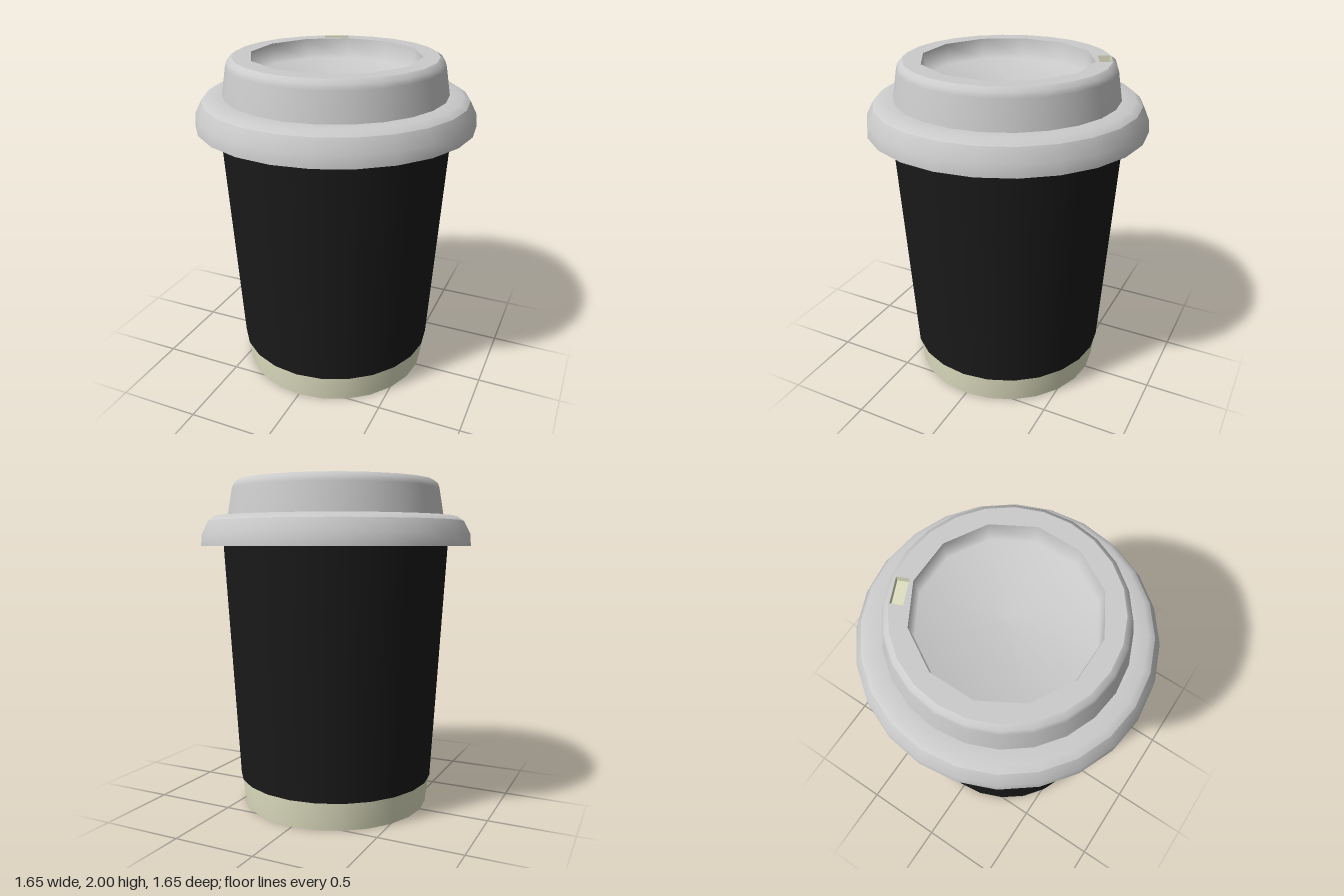
import * as THREE from 'three';

const SIDES = 24;
const grey = new THREE.MeshStandardMaterial({ color: 0xcccccc });
const black = new THREE.MeshStandardMaterial({ color: 0x1a1a1a });
const cream = new THREE.MeshStandardMaterial({ color: 0xe0e0c2 });
const creamInside = new THREE.MeshStandardMaterial({ color: 0xe0e0c2, side: THREE.BackSide });

// Surface of revolution; each profile is one smooth run of [radius, y]
function turn(name, profile, material, sides = SIDES, start = 0) {
  const points = profile.map(([r, y]) => new THREE.Vector2(r, y));
  const mesh = new THREE.Mesh(new THREE.LatheGeometry(points, sides, start), material);
  mesh.name = name;
  return mesh;
}

function polygon(radius, sides, start = 0) {
  return Array.from({ length: sides }, (_, i) => {
    const a = start + (i / sides) * Math.PI * 2;
    return new THREE.Vector2(radius * Math.cos(a), radius * Math.sin(a));
  });
}

function makeCup() {
  const cup = new THREE.Group();
  cup.name = 'cup';
  cup.add(
    turn('cupWall', [[0.58, 0], [0.6, 0.17], [0.68, 1.7]], cream),
    turn('cupFoot', [[0.565, 0], [0.58, 0]], cream),
    turn('cupBottom', [[0, 0.11], [0.555, 0.11], [0.565, 0]], cream),
    turn('sleeve', [[0.606, 0.17], [0.695, 1.74]], black),
    turn('sleeveEdge', [[0.595, 0.17], [0.606, 0.17]], black)
  );
  return cup;
}

function makeLid() {
  const lid = new THREE.Group();
  lid.name = 'lid';
  lid.add(
    turn('lidSkirt', [[0.825, 1.61], [0.82, 1.68], [0.78, 1.757]], grey),
    turn('lidShoulder', [[0.78, 1.757], [0.74, 1.785], [0.65, 1.785]], grey),
    turn('lidUnderside', [[0.66, 1.75], [0.75, 1.74], [0.805, 1.61]], grey),
    turn('lidLip', [[0.805, 1.61], [0.825, 1.61]], grey),
    turn('lidCollar', [[0.66, 1.785], [0.632, 1.95], [0.622, 1.98], [0.595, 2]], grey),
    turn('lidRecess', [[0.5, 2], [0.482, 1.88], [0, 1.86]], grey, 12, Math.PI / 12)
  );

  // Flat rim with the recess and the drinking slot cut out
  const slot = { x: -0.213, z: -0.507, w: 0.152, d: 0.07, angle: THREE.MathUtils.degToRad(24) };
  const center = new THREE.Vector2(slot.x, -slot.z);
  const corners = [[-1, -1], [1, -1], [1, 1], [-1, 1]].map(([u, v]) =>
    new THREE.Vector2((u * slot.w) / 2, (v * slot.d) / 2)
      .rotateAround(new THREE.Vector2(), slot.angle).add(center));
  const rimShape = new THREE.Shape(polygon(0.595, SIDES));
  rimShape.holes.push(
    new THREE.Path(polygon(0.5, 12, Math.PI / 12)),
    new THREE.Path(corners)
  );
  const rim = new THREE.Mesh(new THREE.ShapeGeometry(rimShape), grey);
  rim.name = 'lidRim';
  rim.rotation.x = -Math.PI / 2;
  rim.position.y = 2;
  lid.add(rim);

  // Sunken pocket below the slot, seen from inside
  const pocket = new THREE.Mesh(new THREE.BoxGeometry(slot.w, 0.04, slot.d), creamInside);
  pocket.name = 'drinkingSlot';
  pocket.position.set(slot.x, 1.98, slot.z);
  pocket.rotation.y = slot.angle;
  lid.add(pocket);
  return lid;
}

export function createModel() {
  const model = new THREE.Group();
  model.name = 'takeawayCup';
  model.add(makeCup(), makeLid());
  return model;
}
